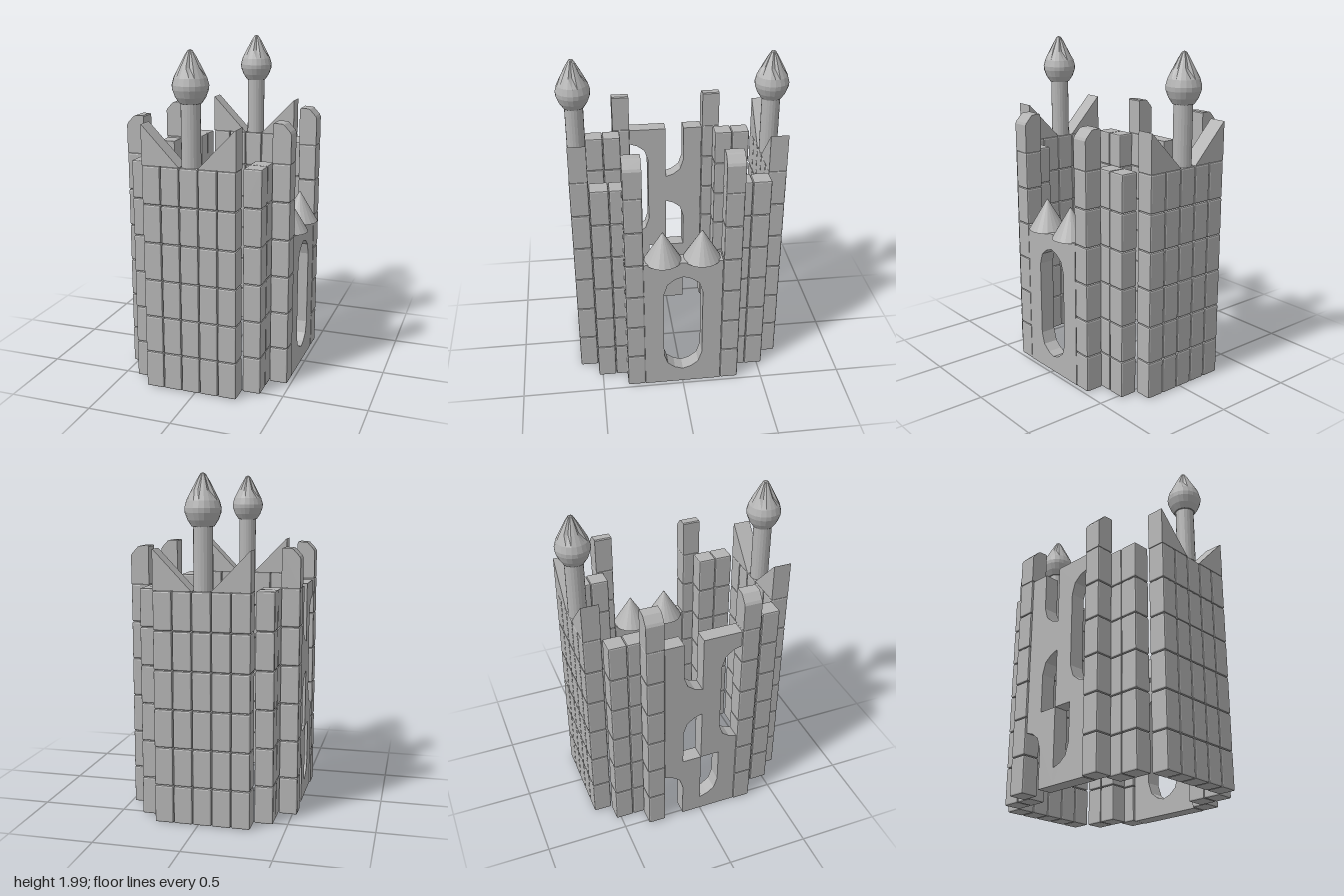
import * as THREE from 'three';
import { RoundedBoxGeometry } from 'three/addons/geometries/RoundedBoxGeometry.js';

const CX = -0.025;      // middle of the plan in x
const PITCH = 0.1125;   // spacing of block columns
const ROW = 0.225;      // height of a block course
const BASE = 0.006;
const TOP = BASE + 6 * ROW;

export function createModel() {
  const root = new THREE.Group();
  root.name = 'castleTower';
  const stone = new THREE.MeshStandardMaterial({ color: 0xb4b4b4, flatShading: true });
  stone.name = 'grey stone';

  const add = (name, geometry, x = 0, y = 0, z = 0, parent = root) => {
    const mesh = new THREE.Mesh(geometry, stone);
    mesh.name = name;
    mesh.position.set(x, y, z);
    parent.add(mesh);
    return mesh;
  };
  // Prism of an outline, centred on its depth
  const prism = (points, depth) => {
    const shape = new THREE.Shape(points.map(([a, b]) => new THREE.Vector2(a, b)));
    return new THREE.ExtrudeGeometry(shape, { depth, bevelEnabled: false }).translate(0, 0, -depth / 2);
  };

  // Stacked block columns
  const block = new RoundedBoxGeometry(0.11, ROW - 0.002, 0.11, 1, 0.009);
  const column = (name, x, z) => {
    const group = new THREE.Group();
    group.name = name;
    root.add(group);
    for (let r = 0; r < 6; r++) add('block', block, x, BASE + (r + 0.5) * ROW, z, group);
  };

  // Onion finial with a folded upper half
  const onionProfile = [[0, 1.705], [0.062, 1.71], [0.085, 1.745], [0.1, 1.785], [0.102, 1.81],
    [0.091, 1.85], [0.063, 1.905], [0.034, 1.96], [0.014, 1.993], [0, 2]];
  const onion = new THREE.LatheGeometry(onionProfile.map(([r, y]) => new THREE.Vector2(r, y)), 20);
  const p = onion.attributes.position;
  for (let i = 0; i < p.count; i++) {
    const ring = i % onionProfile.length;
    const spoke = Math.floor(i / onionProfile.length) % 20;
    if (ring > 5 && spoke % 4 === 1) {
      p.setX(i, p.getX(i) * 0.8);
      p.setZ(i, p.getZ(i) * 0.8);
    }
  }
  onion.computeVertexNormals();

  for (const s of [1, -1]) {
    const end = s > 0 ? 'front' : 'back';
    const zOf = (d) => s * d - 0.003;

    // End wall and stepped corners
    for (let i = -2; i <= 2; i++) column(end + 'Wall', CX + i * PITCH, zOf(0.583));
    for (const m of [1, -1]) {
      const cornerX = CX + m * 3 * PITCH;
      column(end + 'Corner', cornerX, zOf(0.472));
      column(end + 'Corner', cornerX, zOf(0.36));

      // Tall pillar with a sloped outer cap
      const pillarX = CX + m * 4 * PITCH;
      column(end + 'Pillar', pillarX, zOf(0.292));
      const cap = [[-0.054, 0], [0.054, 0], [0.054, 0.168], [0.046, 0.183], [0.01, 0.222],
        [0, 0.226], [-0.048, 0.228], [-0.054, 0.222]];
      add(end + 'PillarCap', prism(cap.map(([u, v]) => [m * u, v]), 0.108), pillarX, TOP, zOf(0.292));

      // Triangular merlon
      const wedge = [[0.055, 0], [0.279, 0], [0.279, 0.23], [0.272, 0.226]];
      add(end + 'Merlon', prism(wedge.map(([u, v]) => [m * u, v]), 0.106), CX, TOP, zOf(0.583));
    }

    // Turret
    add(end + 'Turret', new THREE.CylinderGeometry(0.055, 0.055, 0.36, 20), CX, TOP + 0.18, zOf(0.583));
    add(end + 'Onion', onion, CX, 0, zOf(0.583));
  }

  // Wall panels, each with a quarter of an arched window cut from one corner
  const W = 0.236, H = 0.45;
  const outline = [[0.118, 0], [W, 0], [W, H], [0, H], [0, 0.352], [0.05, 0.335], [0.095, 0.3], [0.118, 0.23]];
  const panel = (name, x, y, s, cutInner, arch) => {
    const points = outline.map(([t, v]) => [s * (cutInner ? t : W - t), arch ? v : H - v]);
    add(name, prism(points, 0.092).rotateY(-Math.PI / 2), x, y, -0.001);
  };
  const leftX = 0.43, rightX = -0.473;
  for (const s of [1, -1]) {
    panel('leftWindowBase', leftX, BASE, s, true, false);
    panel('leftWindowArch', leftX, BASE + H, s, true, true);
    // Cone roofs over the left window
    add('coneRoof', new THREE.ConeGeometry(0.113, 0.19, 20), 0.415, 0.995, s * 0.117 - 0.001);
  }
  // Staggered half windows of the right wall
  panel('rightPanel', rightX, BASE, 1, true, false);
  panel('rightPanel', rightX, BASE, -1, false, true);
  panel('rightPanel', rightX, BASE + H, 1, false, false);
  panel('rightPanel', rightX, BASE + H, -1, true, true);
  panel('rightPanel', rightX, BASE + 2 * H - 0.01, 1, false, true);
  panel('rightPanel', rightX, BASE + 2 * H - 0.01, -1, true, false);

  return root;
}
